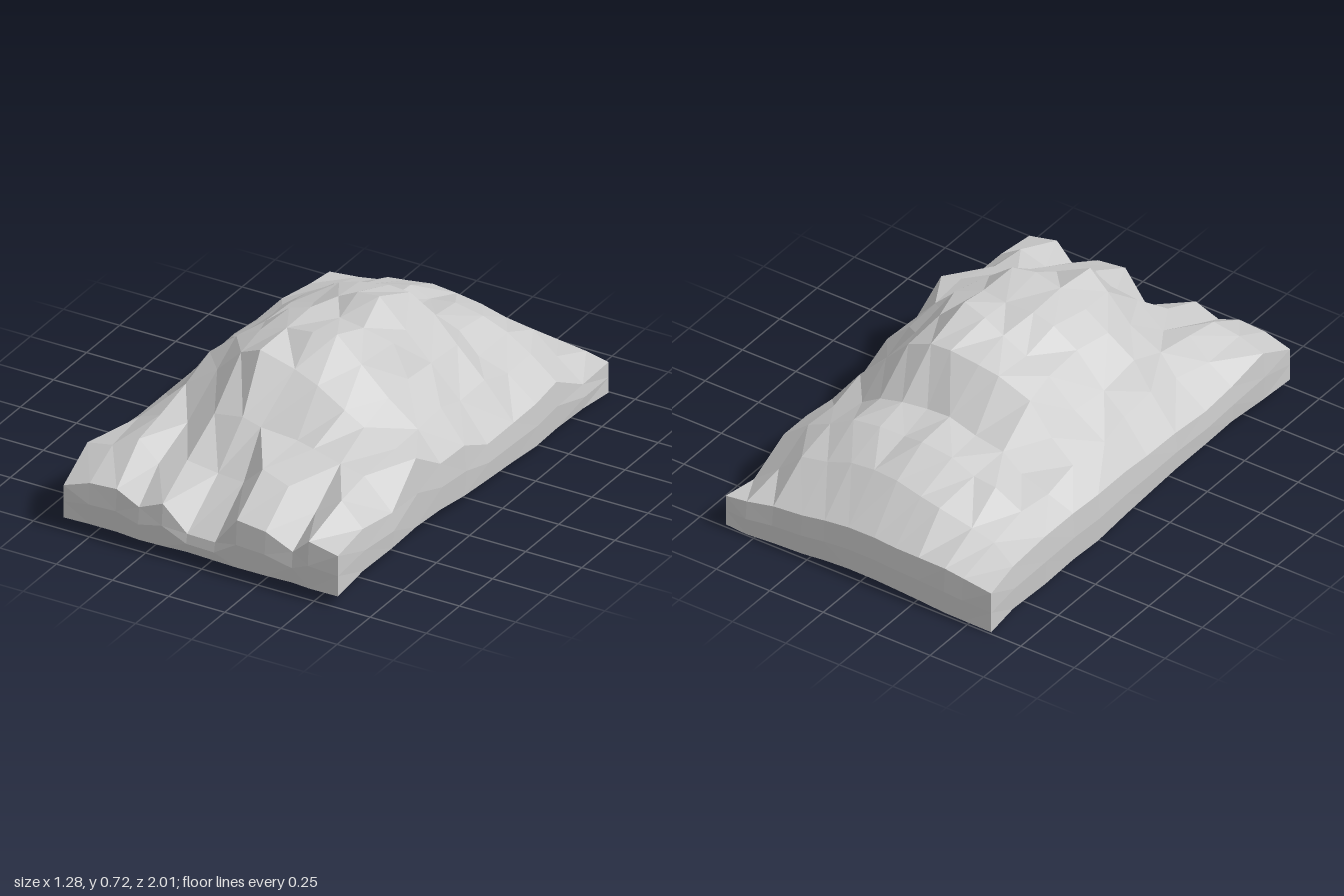
import * as THREE from 'three';

const COLS = 12;

// Cross-sections from back to front: [z, heights spread evenly from -x to +x]
const SECTIONS = [
  [-0.99, [0.18, 0.21, 0.21, 0.22, 0.20, 0.17, 0.135]],
  [-0.81, [0.21, 0.29, 0.36, 0.39, 0.36, 0.29, 0.12]],
  [-0.62, [0.24, 0.30, 0.37, 0.39, 0.44, 0.45, 0.44, 0.44, 0.41, 0.37, 0.30, 0.22]],
  [-0.45, [0.24, 0.30, 0.35, 0.41, 0.44, 0.46, 0.47, 0.46, 0.42, 0.36, 0.30, 0.21]],
  [-0.28, [0.24, 0.34, 0.43, 0.53, 0.60, 0.62, 0.64, 0.65, 0.59, 0.48, 0.35, 0.20]],
  [-0.10, [0.24, 0.35, 0.45, 0.55, 0.61, 0.66, 0.70, 0.71, 0.62, 0.48, 0.34, 0.195]],
  [0.06, [0.23, 0.35, 0.46, 0.57, 0.64, 0.67, 0.68, 0.68, 0.62, 0.51, 0.38, 0.27]],
  [0.24, [0.23, 0.36, 0.47, 0.58, 0.64, 0.68, 0.70, 0.70, 0.62, 0.50, 0.38, 0.265]],
  [0.42, [0.22, 0.34, 0.42, 0.51, 0.62, 0.66, 0.61, 0.58, 0.50, 0.45, 0.40, 0.37]],
  [0.60, [0.24, 0.33, 0.37, 0.38, 0.44, 0.47, 0.43, 0.42, 0.41, 0.38, 0.35, 0.23]],
  [0.79, [0.28, 0.30, 0.35, 0.29, 0.33, 0.30, 0.29, 0.37, 0.34, 0.28, 0.33, 0.25]],
  [0.99, [0.19, 0.23, 0.235, 0.19, 0.235, 0.13, 0.13, 0.25, 0.235, 0.18, 0.25, 0.225]],
];
const ROWS = SECTIONS.length;

// Repeatable random numbers from -1 to 1
function seeded(seed) {
  return () => {
    seed = (seed * 16807) % 2147483647;
    return (seed / 2147483647) * 2 - 1;
  };
}

// Linear lookup along a list, t from 0 to 1
function sample(list, t) {
  const f = t * (list.length - 1);
  const i = Math.min(Math.floor(f), list.length - 2);
  return THREE.MathUtils.lerp(list[i], list[i + 1], f - i);
}

// Surface through a grid of points, each cell split along its shorter diagonal
function gridGeometry(grid) {
  const w = grid[0].length;
  const points = grid.flat();
  const index = [];
  for (let r = 0; r < grid.length - 1; r++) {
    for (let c = 0; c < w - 1; c++) {
      const a = r * w + c, b = a + w;
      if (points[a].distanceTo(points[b + 1]) < points[b].distanceTo(points[a + 1])) {
        index.push(a, b, b + 1, a, b + 1, a + 1);
      } else {
        index.push(a, b, a + 1, b, b + 1, a + 1);
      }
    }
  }
  const geometry = new THREE.BufferGeometry().setFromPoints(points);
  geometry.setIndex(index);
  geometry.computeVertexNormals();
  return geometry;
}

// Height of the lower rim of the skirt, wavy along the back
function rimHeight(x, z) {
  const alongSide = sample([0.012, 0.014, 0.025, 0.045, 0.068, 0.078, 0.045], (z + 1) / 2);
  const wave = z < -0.9 ? 0.012 * Math.cos(x * 6) : 0;
  return alongSide + wave;
}

export function createModel() {
  const model = new THREE.Group();
  model.name = 'mountain';
  const material = new THREE.MeshStandardMaterial({
    color: 0xcccccc, flatShading: true, side: THREE.DoubleSide,
  });
  const add = (name, grid) => {
    const mesh = new THREE.Mesh(gridGeometry(grid), material);
    mesh.name = name;
    model.add(mesh);
  };

  // Rocky top: sections with irregular spacing and small bumps
  const random = seeded(4127);
  const top = SECTIONS.map(([z, heights], r) => {
    const row = [];
    for (let c = 0; c < COLS; c++) {
      const t = c / (COLS - 1);
      const edgeX = c === 0 || c === COLS - 1;
      const edgeZ = r === 0 || r === ROWS - 1;
      const shift = -0.015 * (z + 0.2);
      const x = -0.61 + 1.23 * t + shift + random() * (edgeX ? 0.008 : 0.02);
      const bump = random() * (edgeX || edgeZ ? 0.004 : 0.012);
      row.push(new THREE.Vector3(x, sample(heights, t) + bump, z + random() * (edgeZ ? 0.006 : 0.02)));
    }
    return row;
  });
  add('rockySurface', top);

  // Skirt: a wall with a slight bulge hanging from each edge
  const column = (c) => top.map((row) => row[c]);
  const edges = [
    ['frontWall', top[ROWS - 1], 0, 1],
    ['leftWall', column(COLS - 1).reverse(), 1, 0],
    ['backWall', [...top[0]].reverse(), 0, -1],
    ['rightWall', column(0), -1, 0],
  ];
  for (const [name, edge, nx, nz] of edges) {
    const last = edge.length - 1;
    const middle = edge.map((p, i) => {
      const bulge = i === 0 || i === last ? 0 : 0.008;
      return new THREE.Vector3(p.x + nx * bulge, (p.y + rimHeight(p.x, p.z)) / 2, p.z + nz * bulge);
    });
    const rim = edge.map((p) => new THREE.Vector3(p.x, rimHeight(p.x, p.z), p.z));
    add(name, [edge, middle, rim]);
  }
  return model;
}
